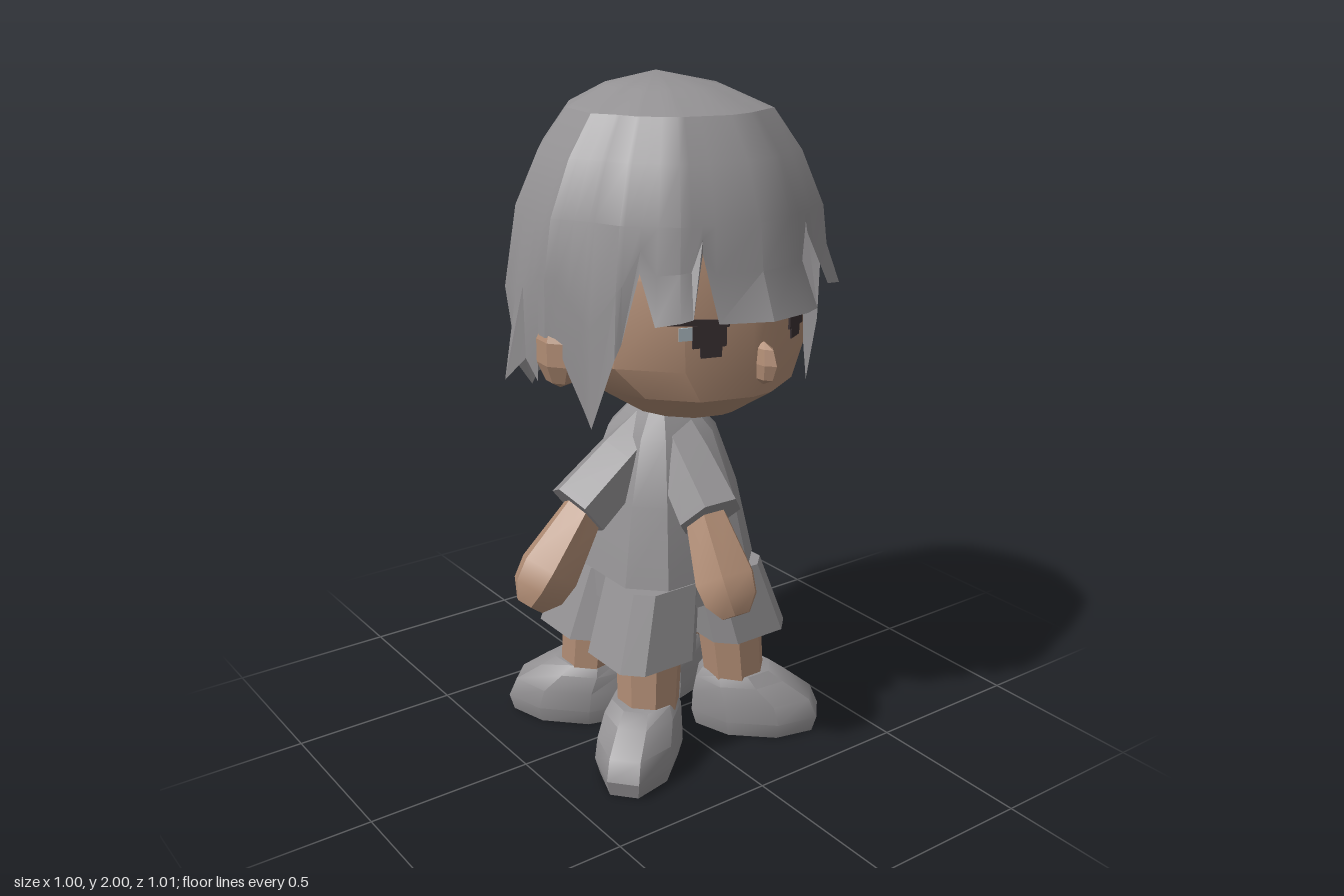
import * as THREE from 'three';
import { toCreasedNormals } from 'three/addons/utils/BufferGeometryUtils.js';

const V = (x, y, z) => new THREE.Vector3(x, y, z);
const rad = THREE.MathUtils.degToRad;

// piecewise linear lookup in a list of [key, value]
function lookup(table, k) {
  if (k <= table[0][0]) return table[0][1];
  for (let i = 1; i < table.length; i++) {
    const [a, va] = table[i - 1], [b, vb] = table[i];
    if (k <= b) return va + (vb - va) * (k - a) / (b - a);
  }
  return table[table.length - 1][1];
}

// skin over rings of points, listed bottom to top, each turning from +x to +z
function loft(rings, caps = true, crease = 0.5) {
  const pos = [], n = rings[0].length;
  const tri = (...pts) => pts.forEach(p => pos.push(p.x, p.y, p.z));
  for (let r = 0; r < rings.length - 1; r++) {
    for (let i = 0; i < n; i++) {
      const j = (i + 1) % n, a = rings[r], b = rings[r + 1];
      tri(a[i], b[i], a[j]);
      tri(a[j], b[i], b[j]);
    }
  }
  if (caps) {
    const lo = rings[0], hi = rings[rings.length - 1];
    const mid = ring => ring.reduce((s, p) => s.add(p), V(0, 0, 0)).divideScalar(n);
    const cl = mid(lo), ch = mid(hi);
    for (let i = 0; i < n; i++) {
      tri(cl, lo[i], lo[(i + 1) % n]);
      tri(ch, hi[(i + 1) % n], hi[i]);
    }
  }
  const geo = new THREE.BufferGeometry();
  geo.setAttribute('position', new THREE.Float32BufferAttribute(pos, 3));
  return toCreasedNormals(geo, crease);
}

// square ring with cut corners
function squareRing(y, h, cx = 0, cz = 0, cut = 0.62) {
  const c = h * cut;
  return [[h, -c], [h, c], [c, h], [-c, h], [-h, c], [-h, -c], [-c, -h], [c, -h]]
    .map(([x, z]) => V(cx + x, y, cz + z));
}

// oval ring
function ovalRing(y, rx, rz, sides, cx = 0) {
  return Array.from({ length: sides }, (_, i) => {
    const a = (i + 0.5) / sides * Math.PI * 2;
    return V(cx + Math.cos(a) * rx, y, Math.sin(a) * rz);
  });
}

export function createModel() {
  const root = new THREE.Group();
  const mat = (name, color) => {
    const m = new THREE.MeshStandardMaterial({ color, side: THREE.DoubleSide });
    m.name = name;
    return m;
  };
  const grey = mat('grey', 0x949294);
  const skin = mat('skin', 0xb08c74);
  const dark = mat('dark eye', 0x3a3032);
  const pale = mat('pale eye', 0xa9b7be);

  const add = (parent, name, geo, material) => {
    const m = new THREE.Mesh(geo, material);
    m.name = name;
    parent.add(m);
    return m;
  };
  // limb from a to b; profile is [fraction along, radius]
  const limb = (name, a, b, profile, sides, material) => {
    const d = b.clone().sub(a), len = d.length();
    const rings = profile.map(([t, r]) => ovalRing(t * len, r, r, sides));
    const m = add(root, name, loft(rings), material);
    m.position.copy(a);
    m.quaternion.setFromUnitVectors(V(0, 1, 0), d.normalize());
  };

  // head: half outline from face to back, mirrored in z
  const half = [[0.41, 0.045], [0.335, 0.225], [0.18, 0.34], [0, 0.385], [-0.2, 0.35], [-0.36, 0.22], [-0.42, 0.07]];
  const outline = [...half, ...half.map(([x, z]) => [x, -z]).reverse()];
  const head = new THREE.Group();
  head.name = 'head';
  head.rotation.y = rad(6);
  root.add(head);
  const headRings = [[1.08, 0.42, 0.1], [1.17, 0.78, 0.09], [1.26, 1, 0.01], [1.5, 1, 0], [1.7, 0.82, 0], [1.85, 0.45, 0]]
    .map(([y, s, shift]) => outline.map(([x, z]) => V(x * s + shift, y, z * s)));
  add(head, 'face', loft(headRings), skin);
  const nose = add(head, 'nose', toCreasedNormals(new THREE.SphereGeometry(1, 6, 4), 0.4), skin);
  nose.position.set(0.425, 1.265, 0.015);
  nose.scale.set(0.05, 0.06, 0.025);
  for (const s of [1, -1]) {
    const ear = add(head, 'ear', toCreasedNormals(new THREE.SphereGeometry(1, 7, 5), 0.4), skin);
    ear.position.set(s > 0 ? 0.02 : -0.03, 1.285, s > 0 ? 0.39 : -0.42);
    ear.scale.set(0.075, 0.105, 0.06);
    // eye plates lying on the slanted cheek facet
    const eye = new THREE.Group();
    eye.name = 'eye';
    eye.position.set(0.366, 1.35, s * 0.162);
    eye.rotation.y = Math.PI / 2 - s * rad(22.6);
    head.add(eye);
    const plate = (name, w, h, x, y, z, material) => {
      const m = add(eye, name, new THREE.BoxGeometry(w, h, 0.006), material);
      m.position.set(-s * x, y, z);
      return m;
    };
    plate('eyeWhite', 0.06, 0.035, 0.055, 0.015, 0.002, pale);
    plate('iris', 0.095, 0.06, 0, 0.005, 0.005, dark);
    plate('irisLower', 0.06, 0.03, -0.005, -0.038, 0.005, dark);
    plate('lash', 0.18, 0.018, 0.035, 0.045, 0.008, dark).rotation.z = -s * 0.1;
  }

  // hair: outline corners as [degrees, radius]
  const corners = [[0, 0.46], [30, 0.45], [52, 0.44], [66, 0.42], [81, 0.45], [113, 0.45], [146, 0.47], [175, 0.51],
    [203, 0.48], [218, 0.52], [246, 0.46], [283, 0.45], [318, 0.48], [345, 0.46], [360, 0.46]];
  // jagged lower edge as [degrees, height, outward flare]
  const edge = [[0, 1.4, 1.09], [17, 1.4, 1.05], [22, 1.58, 1], [26, 1.42, 1.07], [38, 1.4, 1.07], [44, 1.53, 1],
    [50, 1.34, 1], [63, 1.09, 1.18], [72, 1.24, 1.06], [77, 1.33, 1], [86, 1.33, 1], [93, 1.18, 1.05], [98, 1.24, 1.05],
    [104, 1.17, 1.22], [111, 1.22, 1.05], [118, 1.12, 1], [150, 1.1, 1], [165, 1.13, 1], [180, 1.1, 1],
    [195, 1.13, 1], [225, 1.07, 1], [241, 1.12, 1], [250, 1.2, 1.27], [258, 1.36, 1.05], [264, 1.38, 1],
    [278, 1.38, 1], [287, 1.26, 1.04], [298, 1.1, 1.16], [305, 1.3, 1.02], [310, 1.5, 1], [315, 1.43, 1.05],
    [328, 1.45, 1.07], [333, 1.6, 1], [338, 1.4, 1.09], [360, 1.4, 1.09]];
  const flares = edge.map(([deg, , flare]) => [deg, flare]);
  const swell = [[1.07, 0.82], [1.3, 0.98], [1.42, 1], [1.65, 0.93], [1.8, 0.79], [1.91, 0.62], [1.965, 0.36]];
  const lean = [[1.42, 0], [1.65, 0.01], [1.91, 0.02], [1.965, 0]];
  const outlineAt = deg => {
    const k = Math.max(1, corners.findIndex(c => c[0] >= deg));
    const [p, q] = [corners[k - 1], corners[k]].map(([d, r]) => V(Math.cos(rad(d)) * r, 0, Math.sin(rad(d)) * r));
    // where the ray at this angle meets the chord p-q
    const c = Math.cos(rad(deg)), s = Math.sin(rad(deg));
    const dp = p.z * c - p.x * s, dq = q.z * c - q.x * s;
    return p.lerp(q, dp / (dp - dq));
  };
  const columns = [...new Set([...edge, ...corners].map(e => e[0] % 360))].sort((a, b) => a - b);
  const hairRow = heightOf => columns.map(deg => {
    const end = lookup(edge, deg), y = heightOf(end);
    const flare = y === end ? lookup(flares, deg) : 1;
    const p = outlineAt(deg).multiplyScalar(lookup(swell, y) * flare);
    return V(p.x + lookup(lean, y), y, p.z);
  });
  const hairRows = [e => e, e => (e + 1.65) / 2, () => 1.65, () => 1.8, () => 1.91, () => 1.965].map(hairRow);
  hairRows.push(columns.map(() => V(-0.03, 2, 0)));
  add(root, 'hair', loft(hairRows, false), grey);

  // neck and shirt
  limb('neck', V(0, 0.98, 0), V(0, 1.16, 0), [[0, 0.09], [1, 0.085]], 8, skin);
  add(root, 'shirt', loft([[0.565, 0.235], [0.8, 0.19], [0.98, 0.135], [1.05, 0.08]]
    .map(([y, h]) => squareRing(y, h))), grey);

  // three arms with sleeves: [direction degrees, hand reach, sleeve reach]
  for (const [deg, reach, cuff] of [[4, 0.4, 0.265], [90, 0.47, 0.3], [228, 0.62, 0.39]]) {
    const at = (r, y) => V(Math.cos(rad(deg)) * r, y, Math.sin(rad(deg)) * r);
    limb('sleeve', at(0.04, 0.975), at(cuff, 0.775), [[0, 0.08], [0.4, 0.092], [1, 0.1]], 6, grey);
    limb('arm', at(cuff - 0.08, 0.85), at(reach, 0.52),
      [[0, 0.06], [0.25, 0.065], [0.72, 0.095], [0.88, 0.085], [1, 0.045]], 6, skin);
  }

  // shorts: waist block and four flared legs
  add(root, 'shortsWaist', loft([squareRing(0.48, 0.23), squareRing(0.57, 0.225)]), grey);
  for (const sx of [1, -1]) for (const sz of [1, -1]) {
    add(root, 'shortsLeg', loft([
      squareRing(0.34, 0.136, sx * 0.135, sz * 0.17),
      squareRing(0.56, 0.118, sx * 0.112, sz * 0.115)]), grey);
    limb('leg', V(sx * 0.16, 0.15, sz * 0.165), V(sx * 0.142, 0.4, sz * 0.148), [[0, 0.092], [1, 0.102]], 8, skin);
  }

  // shoes, toes pointing outward: [height, half length, half width, shift to toe]
  const shoe = loft([[0, 0.195, 0.11, 0.035], [0.05, 0.21, 0.124, 0.035], [0.11, 0.195, 0.12, 0.024],
    [0.165, 0.145, 0.112, -0.012], [0.195, 0.11, 0.095, -0.025]]
    .map(([y, l, w, c]) => ovalRing(y, l, w, 8, c)), true, 0.6);
  for (const [x, z] of [[0.17, 0.195], [-0.18, 0.18], [0.175, -0.19], [-0.175, -0.175]]) {
    const m = add(root, 'shoe', shoe, grey);
    m.position.set(x, 0.005, z);
    m.rotation.y = -Math.atan2(z, x);
  }
  return root;
}
